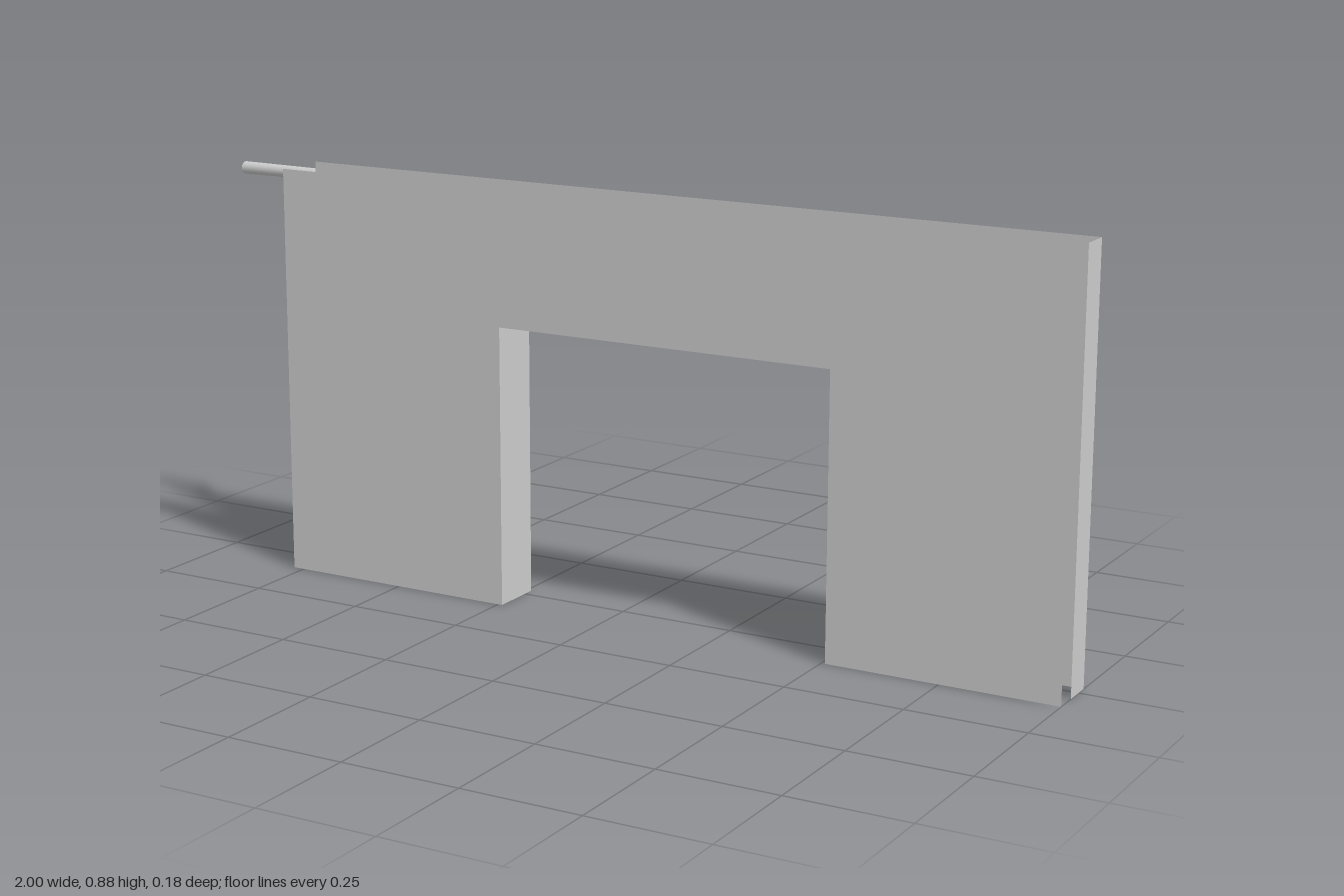
import * as THREE from 'three';

const grey = new THREE.MeshStandardMaterial({ color: 0xcccccc, side: THREE.DoubleSide });
const V = (x, y, z) => new THREE.Vector3(x, y, z);

const LEFT = 1, RIGHT = -0.775, TOP = 0.875;              // wall outline
const OPEN_L = 0.508, OPEN_R = -0.24, OPEN_TOP = 0.592;   // doorway
const FRONT = 0.089, BACK = -0.026;                       // wall faces

function add(group, name, geometry) {
  const mesh = new THREE.Mesh(geometry, grey);
  mesh.name = name;
  group.add(mesh);
  return mesh;
}

// Polyline whose inner corners are rounded by the given bend length
function roundedPath(points, bend) {
  const path = new THREE.CurvePath();
  let start = points[0];
  for (let i = 1; i < points.length - 1; i++) {
    const p = points[i];
    const a = p.clone().add(points[i - 1].clone().sub(p).setLength(bend));
    const b = p.clone().add(points[i + 1].clone().sub(p).setLength(bend));
    path.add(new THREE.LineCurve3(start, a));
    path.add(new THREE.QuadraticBezierCurve3(a, p, b));
    start = b;
  }
  path.add(new THREE.LineCurve3(start, points[points.length - 1]));
  return path;
}

// Tube that narrows evenly from r0 to r1
function taperedTube(path, r0, r1, segments = 120, sides = 14) {
  const geometry = new THREE.TubeGeometry(path, segments, 1, sides);
  const pos = geometry.attributes.position;
  const v = V(0, 0, 0);
  for (let i = 0; i <= segments; i++) {
    const centre = path.getPointAt(i / segments);
    const r = r0 + (r1 - r0) * i / segments;
    for (let j = 0; j <= sides; j++) {
      const k = i * (sides + 1) + j;
      v.fromBufferAttribute(pos, k).sub(centre).multiplyScalar(r).add(centre);
      pos.setXYZ(k, v.x, v.y, v.z);
    }
  }
  return geometry;
}

export function createModel() {
  const model = new THREE.Group();
  model.name = 'wallWithPipe';

  // Front and back wall sheets, notched by the doorway
  const outline = new THREE.Shape([
    [RIGHT, 0], [OPEN_R, 0], [OPEN_R, OPEN_TOP], [OPEN_L, OPEN_TOP],
    [OPEN_L, 0], [LEFT, 0], [LEFT, TOP], [RIGHT, TOP],
  ].map(([x, y]) => new THREE.Vector2(x, y)));
  add(model, 'frontWall', new THREE.ShapeGeometry(outline)).position.z = FRONT;
  const back = add(model, 'backWall', new THREE.ShapeGeometry(outline));
  back.rotation.y = Math.PI;
  back.scale.x = -1;
  back.position.z = BACK;

  // Doorway lining
  const depth = FRONT - BACK, midZ = (FRONT + BACK) / 2;
  const jamb = (name, x, turn) => {
    const mesh = add(model, name, new THREE.PlaneGeometry(depth, OPEN_TOP));
    mesh.rotation.y = turn;
    mesh.position.set(x, OPEN_TOP / 2, midZ);
  };
  jamb('rightJamb', OPEN_R, Math.PI / 2);
  jamb('leftJamb', OPEN_L, -Math.PI / 2);
  const soffit = add(model, 'doorwaySoffit', new THREE.PlaneGeometry(OPEN_L - OPEN_R, depth));
  soffit.rotation.x = Math.PI / 2;
  soffit.position.set((OPEN_L + OPEN_R) / 2, OPEN_TOP, midZ);

  // Partial end strip, joined to the back wall only
  const stripDepth = 0.04 - BACK;
  const strip = add(model, 'endStrip', new THREE.PlaneGeometry(stripDepth, TOP));
  strip.rotation.y = Math.PI / 2;
  strip.position.set(LEFT, TOP / 2, BACK + stripDepth / 2);

  // Pipework on the back wall
  const pipes = new THREE.Group();
  pipes.name = 'pipework';
  model.add(pipes);
  const upper = roundedPath([
    V(-1, 0.838, -0.075), V(-0.708, 0.838, -0.075), V(-0.68, 0.838, -0.042),
    V(-0.68, 0.637, -0.039), V(-0.61, 0.637, -0.037),
  ], 0.021);
  add(pipes, 'upperPipe', taperedTube(upper, 0.0135, 0.0105, 160));
  const cap = add(pipes, 'pipeEnd', new THREE.CircleGeometry(0.0135, 14));
  cap.rotation.y = -Math.PI / 2;
  cap.position.set(-1, 0.838, -0.075);

  const link = new THREE.LineCurve3(V(-0.63, 0.637, -0.037), V(-0.355, 0.637, -0.036));
  add(pipes, 'crossPipe', taperedTube(link, 0.0085, 0.006, 1));
  const bend = roundedPath([
    V(-0.37, 0.637, -0.036), V(-0.302, 0.637, -0.036), V(-0.302, 0.55, -0.035),
  ], 0.03);
  add(pipes, 'lowerElbow', taperedTube(bend, 0.0085, 0.0075, 40));
  const drop = new THREE.LineCurve3(V(-0.302, 0.56, -0.035), V(-0.302, 0.284, -0.0285));
  add(pipes, 'dropPipe', taperedTube(drop, 0.007, 0.0035, 1));

  // Collars at the joints: position, radius, width, axis along x or y
  [
    [V(-0.68, 0.778, -0.041), 0.0175, 0.016, 'y'],
    [V(-0.68, 0.66, -0.039), 0.0135, 0.01, 'y'],
    [V(-0.628, 0.637, -0.037), 0.0175, 0.012, 'x'],
    [V(-0.36, 0.637, -0.036), 0.0125, 0.01, 'x'],
    [V(-0.302, 0.558, -0.0355), 0.0105, 0.011, 'y'],
  ].forEach(([p, r, width, axis], i) => {
    const collar = add(pipes, `collar${i + 1}`, new THREE.CylinderGeometry(r, r, width, 16));
    if (axis === 'x') collar.rotation.z = Math.PI / 2;
    collar.position.copy(p);
  });

  return model;
}
